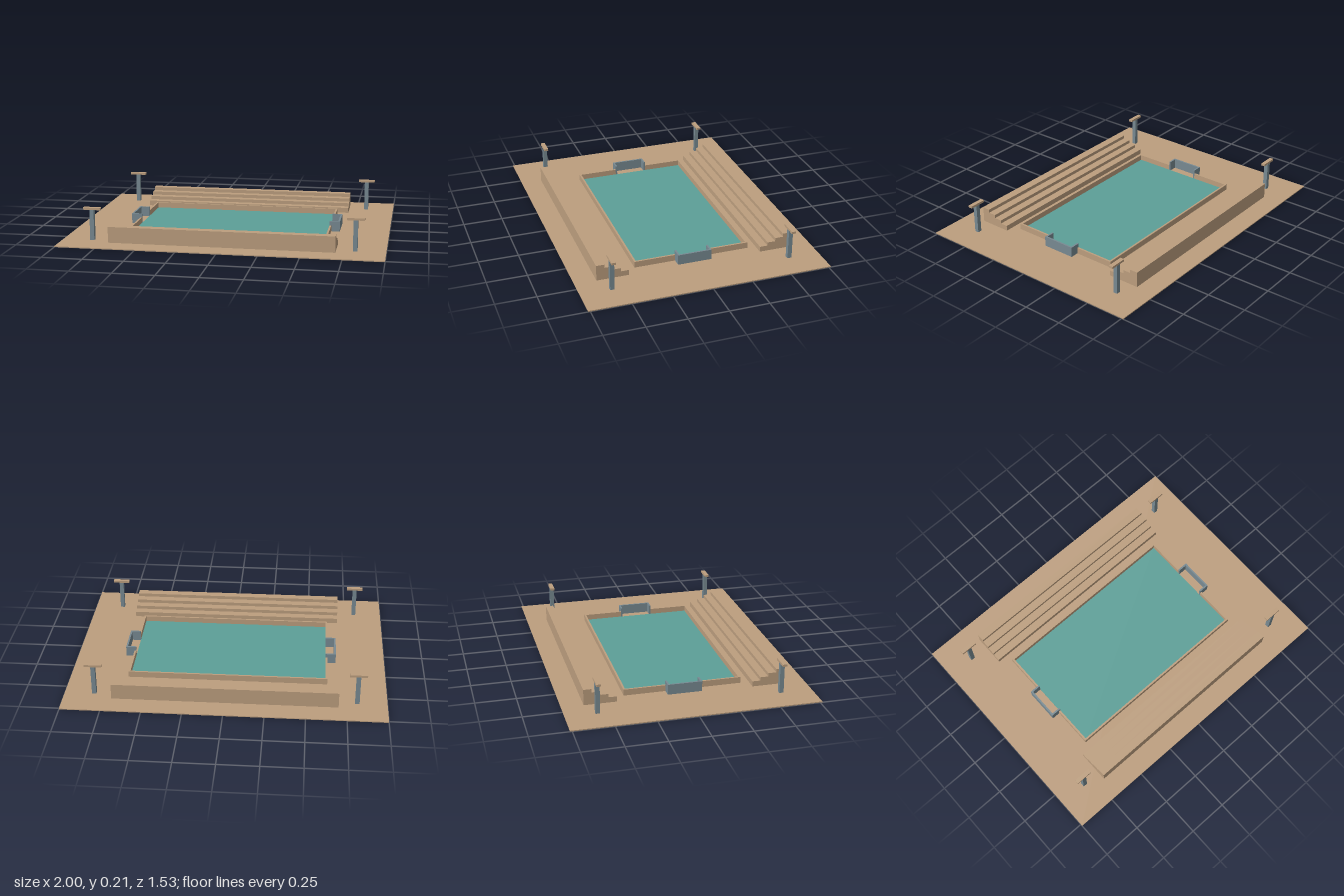
import * as THREE from 'three';

const mat = (name, color) => {
  const m = new THREE.MeshStandardMaterial({ color });
  m.name = name;
  return m;
};

export function createModel() {
  const tan = mat('tan', 0xbc9e7e);
  const teal = mat('teal', 0x5c9f97);
  const steel = mat('steel', 0x788a92);
  const arena = new THREE.Group();
  arena.name = 'arena';

  // Box given by its min and max corners
  const box = (parent, name, material, [x0, y0, z0], [x1, y1, z1]) => {
    const mesh = new THREE.Mesh(new THREE.BoxGeometry(x1 - x0, y1 - y0, z1 - z0), material);
    mesh.position.set((x0 + x1) / 2, (y0 + y1) / 2, (z0 + z1) / 2);
    mesh.name = name;
    parent.add(mesh);
  };
  const group = (name) => {
    const g = new THREE.Group();
    g.name = name;
    arena.add(g);
    return g;
  };

  const floor = 0.006;
  const X = 0.631, Z = 0.37, T = 0.012; // rink wall outer half sizes and thickness
  const goalZ = 0.108, goalX = 0.685, goalT = 0.011;

  box(arena, 'ground', tan, [-1, 0, -0.763], [1, floor, 0.763]);
  box(arena, 'playingSurface', teal, [-X + T, floor, -Z + T], [X - T, floor + 0.003, Z - T]);

  // Long rink walls
  const walls = group('rinkWalls');
  for (const s of [-1, 1]) {
    const c = s * (Z - T / 2);
    box(walls, 'sideWall', tan, [-X, floor, c - T / 2], [X, 0.045, c + T / 2]);
  }

  // Stepped stand, facing the rink
  const stepZ = [0.425, 0.475, 0.526, 0.577, 0.628];
  const stepY = [0.04, 0.062, 0.084, 0.106];
  const profile = new THREE.Shape();
  profile.moveTo(stepZ[0], floor);
  stepY.forEach((y, i) => {
    profile.lineTo(stepZ[i], y);
    profile.lineTo(stepZ[i + 1], y);
  });
  profile.lineTo(stepZ[4], floor);
  const standGeometry = new THREE.ExtrudeGeometry(profile, { depth: 1.4, bevelEnabled: false });
  standGeometry.translate(0, 0, -0.7).rotateY(-Math.PI / 2);

  for (const turn of [0, Math.PI]) {
    const stand = new THREE.Mesh(standGeometry, tan);
    stand.name = 'steppedStand';
    stand.rotation.y = turn;
    arena.add(stand);

    // End walls, left open in the middle for the goal
    const end = group('rinkEnd');
    end.rotation.y = turn;
    box(end, 'endWall', tan, [X - T, floor, goalZ], [X, 0.045, Z - T]);
    box(end, 'endWall', tan, [X - T, floor, -Z + T], [X, 0.045, -goalZ]);

    // Goal: back panel and two side panels
    const goal = new THREE.Group();
    goal.name = 'goal';
    end.add(goal);
    box(goal, 'goalBack', steel, [goalX - goalT, floor, -goalZ], [goalX, 0.071, goalZ]);
    box(goal, 'goalSide', steel, [X - T, floor, goalZ - goalT], [goalX - goalT, 0.071, goalZ]);
    box(goal, 'goalSide', steel, [X - T, floor, -goalZ], [goalX - goalT, 0.071, -goalZ + goalT]);
  }

  // Floodlight masts at the corners
  for (const sx of [-1, 1]) for (const sz of [-1, 1]) {
    const mast = group('floodlight');
    mast.position.set(sx * 0.815, 0, sz * 0.567);
    box(mast, 'mastPole', steel, [-0.0135, floor, -0.0135], [0.0135, 0.197, 0.0135]);
    box(mast, 'lampBar', tan, [-0.054, 0.197, -0.0135], [0.054, 0.211, 0.0135]);
  }
  return arena;
}
